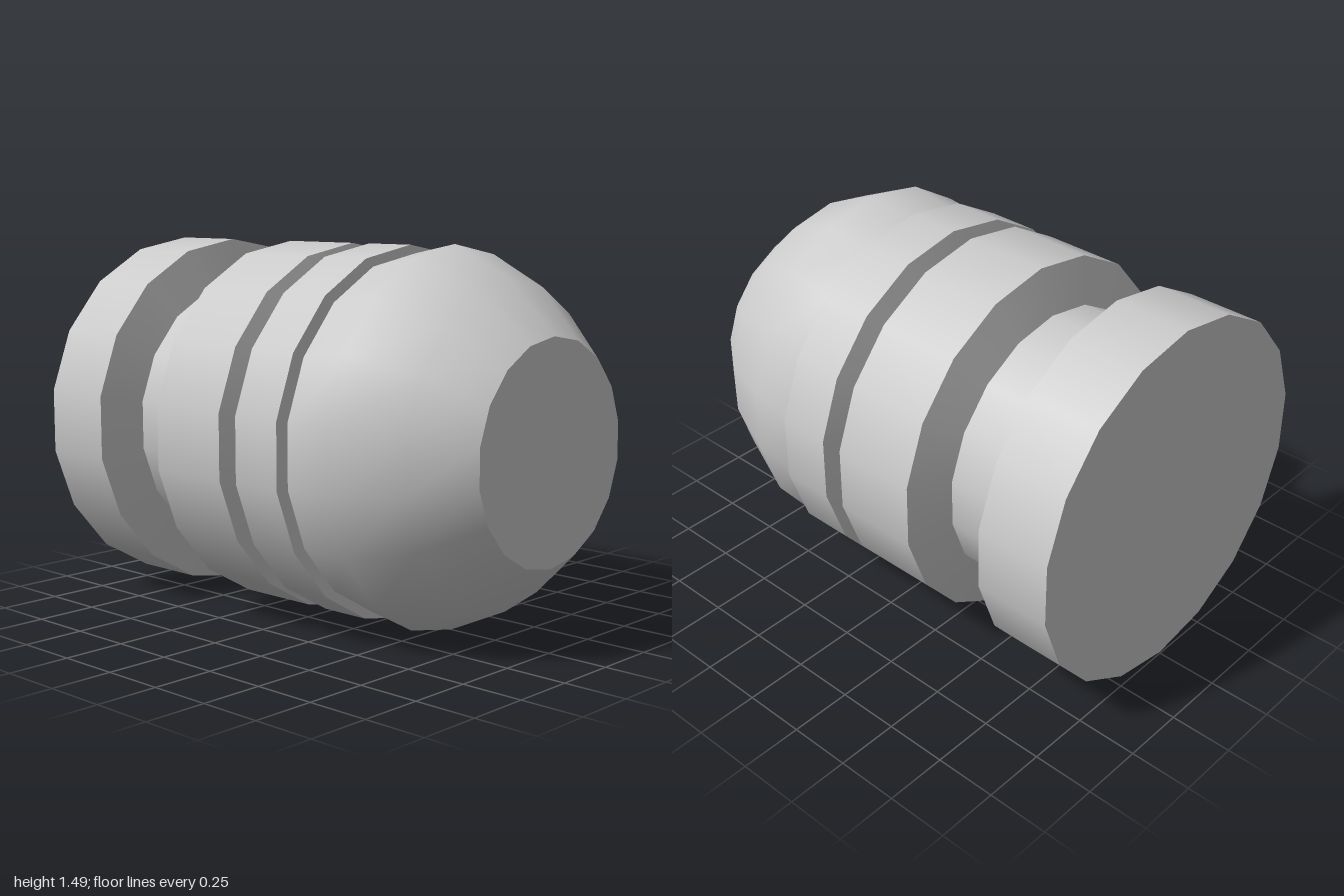
import * as THREE from 'three';
import { mergeVertices, mergeGeometries } from 'three/addons/utils/BufferGeometryUtils.js';

const SIDES = 18;
const CENTER_Y = 0.745;
const START = Math.PI / 2; // puts a corner of the polygon at the top

export function createModel() {
  const model = new THREE.Group();
  const material = new THREE.MeshStandardMaterial({ color: 0xcccccc });

  const add = (name, geometry) => {
    const mesh = new THREE.Mesh(geometry, material);
    mesh.name = name;
    mesh.position.y = CENTER_Y;
    model.add(mesh);
  };

  // open band along x, smooth around and sharp at both rims
  const band = ([x0, r0], [x1, r1]) =>
    new THREE.CylinderGeometry(r1, r0, x1 - x0, SIDES, 1, true, START)
      .rotateZ(-Math.PI / 2)
      .translate((x0 + x1) / 2, 0, 0);

  const bands = (name, profile) =>
    add(name, mergeGeometries(profile.slice(1).map((p, i) => band(profile[i], p))));

  // flat end disc facing along x
  const disc = (name, x, r, facing) =>
    add(name, new THREE.CircleGeometry(r, SIDES, START)
      .rotateY(facing * Math.PI / 2).translate(x, 0, 0));

  // body, from the rear end to the nose
  const R = 0.737;
  disc('rearCap', -1, R, -1);
  bands('rearRim', [[-1, R], [-0.69, R]]);
  bands('wideGroove', [[-0.69, R], [-0.64, 0.56], [-0.4, 0.56], [-0.34, R]]);
  bands('middleBody', [[-0.34, R], [0.01, R]]);
  bands('narrowGroove', [[0.01, R], [0.045, 0.628], [0.065, 0.628], [0.1, R]]);
  bands('frontCollar', [[0.1, R], [0.315, R]]);
  bands('noseGroove', [[0.315, R], [0.328, 0.56], [0.34, 0.705]]);

  // rounded nose: x, height radius, depth radius of each ring
  const rings = [[0.34, 0.705, 0.705], [0.535, 0.745, 0.69], [0.795, 0.625, 0.583], [1, 0.428, 0.427]];
  let nose = new THREE.LatheGeometry(
    rings.map(([x, r]) => new THREE.Vector2(r, x)), SIDES, START).rotateZ(-Math.PI / 2);
  const pos = nose.attributes.position;
  for (let i = 0; i < pos.count; i++) {
    const [, height, depth] = rings[i % rings.length];
    pos.setZ(i, pos.getZ(i) * depth / height);
  }
  nose.deleteAttribute('uv');
  nose.deleteAttribute('normal');
  nose = mergeVertices(nose);
  nose.computeVertexNormals();
  add('nose', nose);

  // flat tip, turned so its corners meet the nose
  disc('noseTip', 1, 0.428, 1);

  return model;
}
